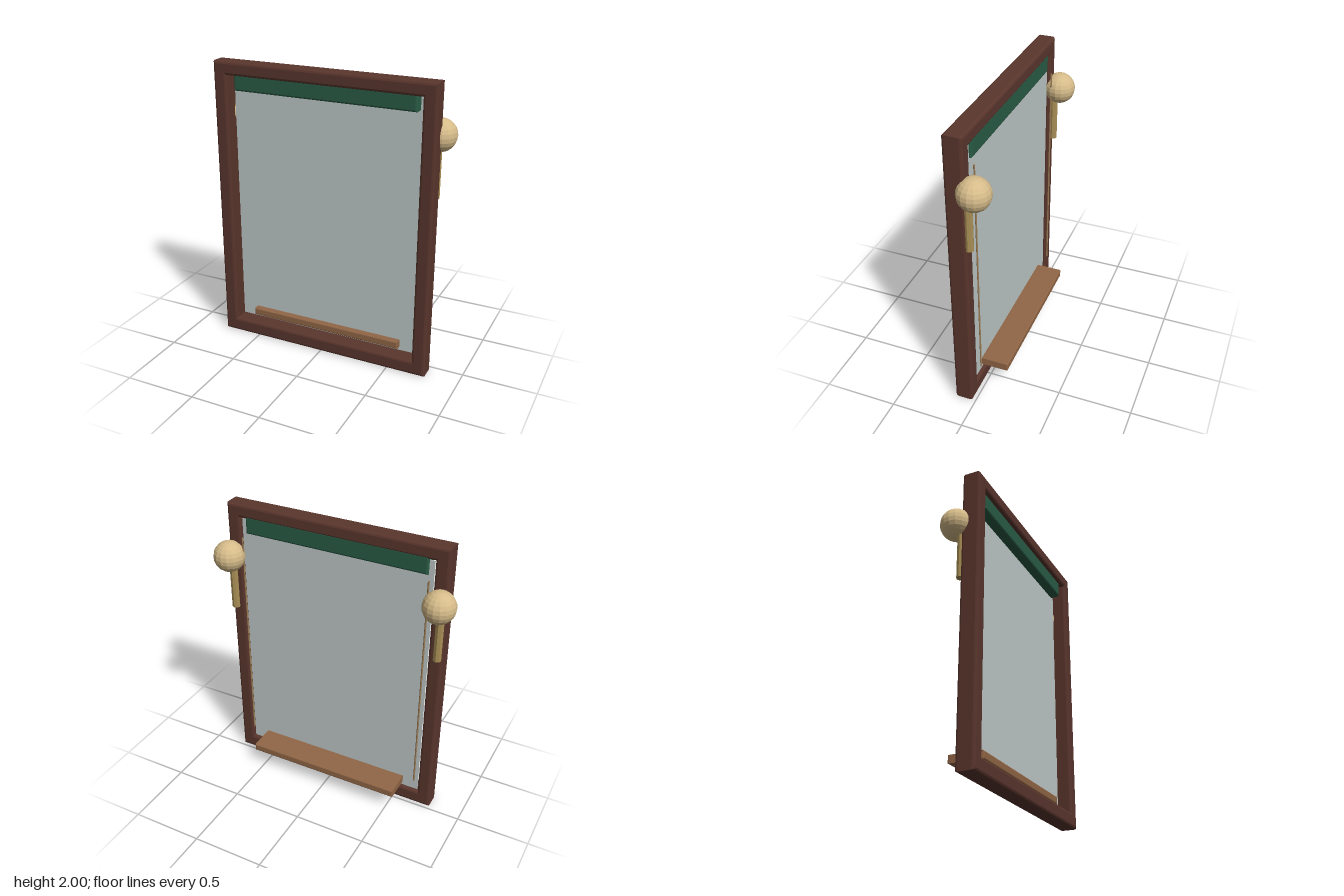
import * as THREE from 'three';

const paint = (name, color) => {
  const m = new THREE.MeshStandardMaterial({ color });
  m.name = name;
  return m;
};

export function createModel() {
  const darkWood = paint('dark wood', 0x5a362d);
  const lightWood = paint('light wood', 0x916646);
  const green = paint('green fabric', 0x2a5c46);
  const glass = paint('pale glass', 0xbfcac8);
  const cream = paint('cream', 0xd6bc8a);
  const olive = paint('olive gold', 0xa98f56);
  const tan = paint('tan cord', 0x9c7d56);
  glass.side = THREE.DoubleSide;

  const model = new THREE.Group();
  model.name = 'framedWindow';

  const add = (name, geometry, material, x, y, z) => {
    const mesh = new THREE.Mesh(geometry, material);
    mesh.name = name;
    mesh.position.set(x, y, z);
    model.add(mesh);
    return mesh;
  };

  // Faceted copy of a smooth geometry
  const faceted = (geometry) => {
    const g = geometry.toNonIndexed();
    g.computeVertexNormals();
    return g;
  };

  const rect = (Type, x0, y0, x1, y1) => {
    const s = new Type();
    s.moveTo(x0, y0);
    s.lineTo(x1, y0);
    s.lineTo(x1, y1);
    s.lineTo(x0, y1);
    s.closePath();
    return s;
  };

  // Slab with softened edges, centred in depth
  const slab = (shape, depth, bevel) => {
    const g = new THREE.ExtrudeGeometry(shape, {
      depth: depth - 2 * bevel, bevelEnabled: true, bevelThickness: bevel,
      bevelSize: bevel, bevelOffset: -bevel, bevelSegments: 2,
    });
    return g.translate(0, 0, -depth / 2 + bevel);
  };

  // Frame with its opening
  const outline = rect(THREE.Shape, -0.773, 0.005, 0.773, 2);
  outline.holes.push(rect(THREE.Path, -0.68, 0.103, 0.68, 1.91));
  add('frame', slab(outline, 0.125, 0.016), darkWood, 0, 0, 0.083);

  // Pane, valance along the top, and sill shelf passing through the pane
  add('pane', new THREE.BoxGeometry(1.345, 1.79, 0.006), glass, 0, 1.005, 0.045);
  add('valance', slab(rect(THREE.Shape, -0.638, 1.805, 0.638, 1.93), 0.095, 0.012), green, 0, 0, 0.07);
  add('shelf', slab(rect(THREE.Shape, -0.558, 0.137, 0.558, 0.19), 0.238, 0.008), lightWood, 0, 0, -0.028);

  // Ball, hanging tassel and thin cord on each side
  for (const [label, s] of [['left', 1], ['right', -1]]) {
    add(label + 'Ball', faceted(new THREE.SphereGeometry(0.107, 16, 12)), cream, s * 0.745, 1.645, -0.03);
    add(label + 'Tassel', faceted(new THREE.CylinderGeometry(0.028, 0.028, 0.35, 8)), olive, s * 0.745, 1.42, 0.01);
    add(label + 'Cord', faceted(new THREE.CylinderGeometry(0.006, 0.006, 1.56, 6)), tan, s * 0.655, 1.0, 0.004);
  }

  return model;
}
